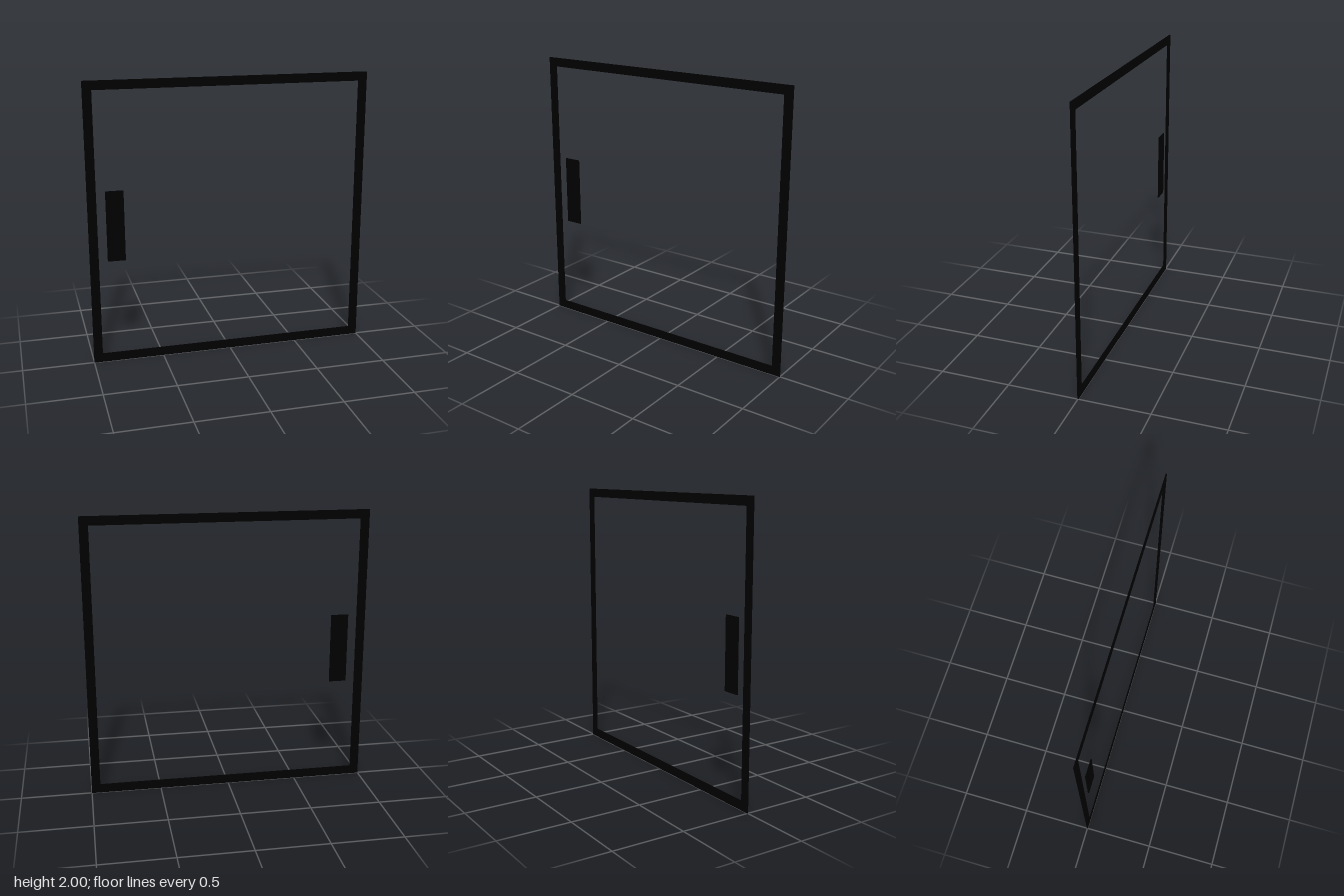
import * as THREE from 'three';

const THICKNESS = 0.008;
const BORDER = 0.0625;

export function createModel() {
  const group = new THREE.Group();
  const black = new THREE.MeshStandardMaterial({ color: 0x000000 });

  const add = (name, geometry) => {
    const mesh = new THREE.Mesh(geometry, black);
    mesh.name = name;
    group.add(mesh);
    return mesh;
  };

  // Rectangle outline centred on (x, y)
  const rectangle = (PathType, x, y, w, h) => new PathType([
    new THREE.Vector2(x - w / 2, y - h / 2),
    new THREE.Vector2(x + w / 2, y - h / 2),
    new THREE.Vector2(x + w / 2, y + h / 2),
    new THREE.Vector2(x - w / 2, y + h / 2),
  ]);

  // Square door frame, open in the middle
  const outline = rectangle(THREE.Shape, 0, 1, 2, 2);
  outline.holes.push(rectangle(THREE.Path, 0, 1, 2 - 2 * BORDER, 2 - 2 * BORDER));
  const frame = new THREE.ExtrudeGeometry(outline, { depth: THICKNESS, bevelEnabled: false });
  frame.translate(0, 0, -THICKNESS / 2);
  add('frame', frame);

  // Upright handle plate beside the right edge
  add('handle', new THREE.BoxGeometry(0.125, 0.5, THICKNESS)).position.set(-0.8125, 1, 0);

  return group;
}
